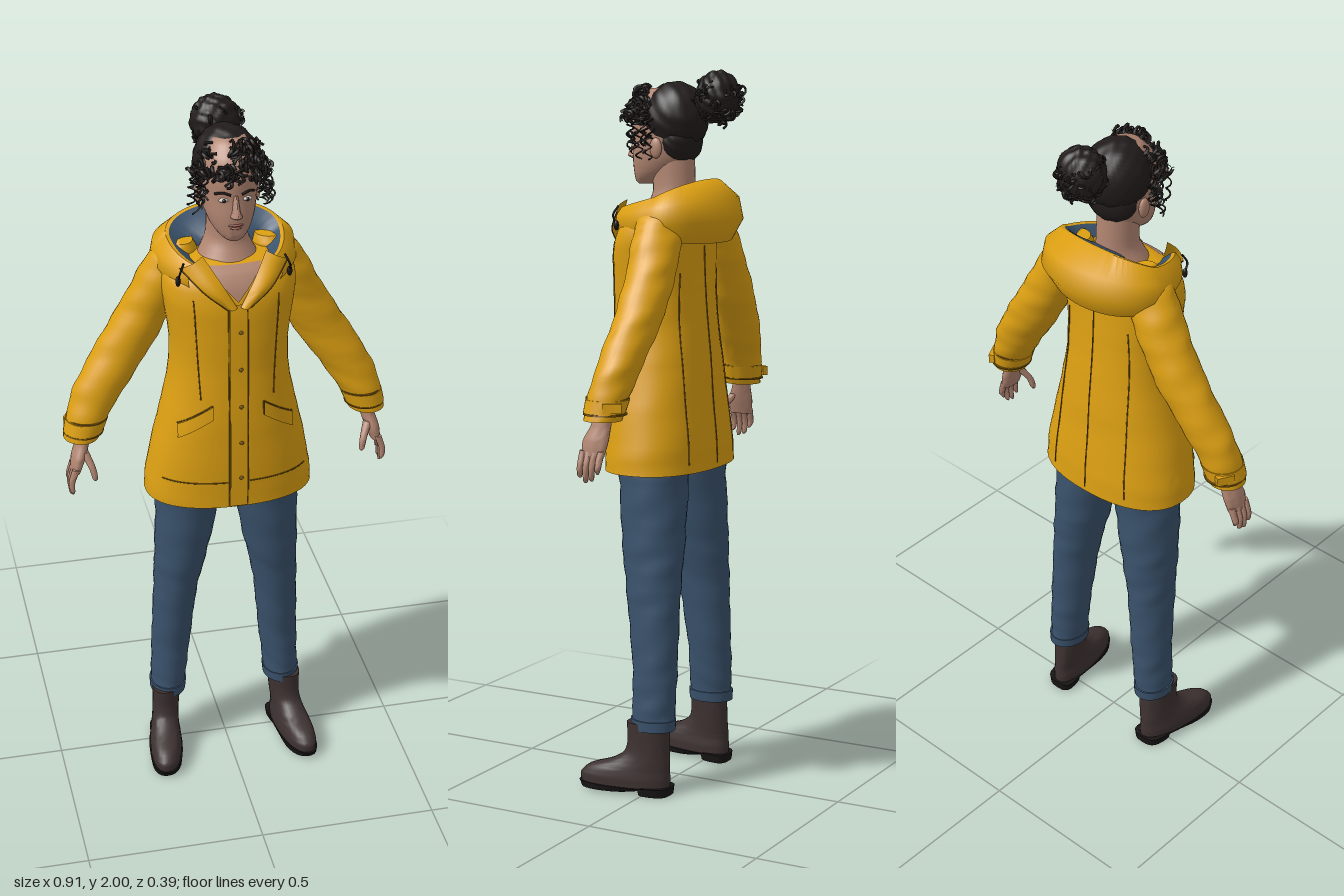
import * as THREE from 'three';
import { toCreasedNormals, mergeGeometries } from 'three/addons/utils/BufferGeometryUtils.js';

const V = (x, y, z) => new THREE.Vector3(x, y, z);
const paint = (name, color, side = THREE.FrontSide) => {
  const m = new THREE.MeshStandardMaterial({ color, side });
  m.name = name;
  return m;
};

// Surface through a grid of points; normals face du x dv. Closed grids wrap in u and get end caps.
function grid(fn, nu, nv, closed = false) {
  const pos = [], idx = [], cols = closed ? nu : nu + 1;
  for (let j = 0; j <= nv; j++)
    for (let i = 0; i < cols; i++) pos.push(...fn(i / nu, j / nv).toArray());
  for (let j = 0; j < nv; j++)
    for (let i = 0; i < nu; i++) {
      const k = (i + 1) % cols, a = j * cols + i, b = j * cols + k;
      idx.push(a, b, b + cols, a, b + cols, a + cols);
    }
  if (closed)
    for (const [j, flip] of [[0, true], [nv, false]]) {
      const c = V(0, 0, 0), n = pos.length / 3;
      for (let i = 0; i < nu; i++) c.add(fn(i / nu, j / nv));
      pos.push(...c.divideScalar(nu).toArray());
      for (let i = 0; i < nu; i++) {
        const a = j * cols + i, b = j * cols + (i + 1) % cols;
        idx.push(...(flip ? [n, b, a] : [n, a, b]));
      }
    }
  const g = new THREE.BufferGeometry();
  g.setAttribute('position', new THREE.Float32BufferAttribute(pos, 3));
  g.setIndex(idx);
  return toCreasedNormals(g, 0.95);
}

// Smooth stack of horizontal oval rings, listed bottom to top as [y, centreX, centreZ, radiusX, radiusZ].
function profile(rows) {
  const centre = new THREE.CatmullRomCurve3(rows.map(r => V(r[1], r[0], r[2])), false, 'catmullrom', 0.4);
  const radius = new THREE.CatmullRomCurve3(rows.map(r => V(r[3], r[4], 0)), false, 'catmullrom', 0.4);
  return t => ({ c: centre.getPoint(t), r: radius.getPoint(t) });
}
function loft(rows, { s = 1, n = 24, e = 2, steps = 4, fold = 0, warp = p => p } = {}) {
  const at = profile(rows), pow = v => Math.sign(v) * Math.abs(v) ** (2 / e);
  return grid((u, v) => {
    const { c, r } = at(v), a = u * Math.PI * 2;
    const k = 1 + fold * Math.sin(c.y * 75 + 2.5 * Math.sin(a + s) + s) * Math.sin(c.y * 23 + a);
    return warp(V(s * c.x + r.x * k * pow(Math.sin(a)), c.y, c.z + r.y * k * pow(Math.cos(a))));
  }, n, (rows.length - 1) * steps, true);
}

const COAT = [
  [0.905, 0, 0.028, 0.235, 0.148], [0.98, 0, 0.03, 0.227, 0.148], [1.1, 0, 0.036, 0.203, 0.142],
  [1.2, 0, 0.038, 0.179, 0.138], [1.3, 0, 0.04, 0.162, 0.13], [1.4, 0, 0.043, 0.163, 0.125],
  [1.5, 0, 0.043, 0.178, 0.121], [1.56, 0, 0.035, 0.18, 0.114], [1.6, 0, 0.018, 0.165, 0.104],
  [1.615, 0, 0.01, 0.12, 0.08],
];
const coatAt = profile(COAT);
// Point on the coat at (x, y), on its front (dir 1) or back (dir -1), lifted by off
function onCoat(x, y, off = 0.004, dir = 1) {
  let lo = 0, hi = 1;
  for (let i = 0; i < 24; i++) {
    const m = (lo + hi) / 2;
    if (coatAt(m).c.y < y) lo = m; else hi = m;
  }
  const { c, r } = coatAt(lo), q = Math.min(1, Math.abs(x) / r.x);
  return V(x, y, c.z + dir * (r.y * (1 - q ** 2.3) ** (1 / 2.3) + off));
}

export function createModel() {
  const root = new THREE.Group();
  root.name = 'womanInRaincoat';
  const two = THREE.DoubleSide;
  const yellow = paint('raincoatYellow', 0xdda012, two), gold = paint('seamGold', 0x7a560c);
  const blue = paint('denimBlue', 0x3a526c, two), skin = paint('skin', 0xb28672, two);
  const hair = paint('hairBlack', 0x211c1b), boot = paint('bootBrown', 0x3d3231);
  const sole = paint('soleBlack', 0x171414), lip = paint('lips', 0x96594f), white = paint('eyeWhite', 0xcfc4bc);
  const add = (name, geo, mat) => {
    const m = new THREE.Mesh(geo, mat);
    m.name = name;
    root.add(m);
    return m;
  };
  const tube = (pts, r, n = 16, sides = 5) => new THREE.TubeGeometry(new THREE.CatmullRomCurve3(pts), n, r, sides);
  const ball = (name, mat, p, sx, sy, sz) => {
    const m = add(name, new THREE.SphereGeometry(1, 20, 14), mat);
    m.position.set(...p);
    m.scale.set(sx, sy, sz);
    return m;
  };
  const seam = (name, x0, y0, x1, y1, dir = 1) => add(name, tube(
    Array.from({ length: 9 }, (_, i) => onCoat(x0 + (x1 - x0) * i / 8, y0 + (y1 - y0) * i / 8, 0.001, dir)), 0.0018), gold);

  // Coat body, open-neck chest, placket and snaps
  add('coatBody', loft(COAT, { n: 56, e: 2.3, fold: 0.006 }), yellow);
  add('chest', grid((u, v) => onCoat((u - 0.5) * 2 * v * 0.075, 1.525 + v * 0.085, 0.006), 10, 8), skin);
  add('placket', grid((u, v) => onCoat(-0.024 + u * 0.048, 0.91 + v * 0.61, 0.006), 4, 24), yellow);
  seam('placketSeam', 0.026, 0.91, 0.026, 1.51);
  seam('placketSeam', -0.026, 0.91, -0.026, 1.51);
  for (let i = 0; i < 5; i++)
    ball('snap', gold, onCoat(0.006, 1.0 + i * 0.11, 0.007).toArray(), 0.006, 0.006, 0.003);
  seam('backSeam', 0, 0.92, 0, 1.52, -1);

  // Hood lying around the neck: yellow roll outside, blue lining inside
  const hoodPoint = (a, out, drop) => {
    const f = -Math.cos(a), k = 0.5 - 0.5 * f;
    const rim = V(0.148 * Math.sin(a), 1.70 - 0.09 * (1 - k), -0.01 + f * (f < 0 ? 0.078 : 0.17));
    const dir = V(Math.sin(a), 0, f);
    return rim.addScaledVector(dir, out(k)).add(V(0, drop(k), 0));
  };
  const rollAt = k => [[-0.02, -0.06 - 0.11 * k], [0.015 + 0.03 * k, -0.05 - 0.12 * k], [0.02 + 0.058 * k, -0.035 - 0.075 * k],
    [0.018 + 0.047 * k, -0.014 - 0.032 * k], [0.01, 0.002], [0, 0]];
  const liningAt = () => [[0, 0], [-0.018, -0.012], [-0.045, -0.03], [-0.085, -0.05]];
  const wrap = (rows, n) => grid((u, v) => {
    const a = (u - 0.5) * 2 * 2.35, i = Math.round(v * n);
    return hoodPoint(-a, k => rows(k)[i][0], k => rows(k)[i][1]);
  }, 48, n);
  add('hood', wrap(rollAt, 5), yellow);
  add('hoodLining', wrap(liningAt, 3), blue);

  for (const s of [1, -1]) {
    // Collar flaps and drawstrings
    const inner = new THREE.CatmullRomCurve3([V(s * 0.004, 1.515, 0.173), V(s * 0.04, 1.575, 0.158), V(s * 0.085, 1.645, 0.115)]);
    const outer = new THREE.CatmullRomCurve3([V(s * 0.03, 1.51, 0.172), V(s * 0.09, 1.56, 0.162), V(s * 0.145, 1.615, 0.112)]);
    add('collarFlap', grid((u, v) => inner.getPoint(v).lerp(outer.getPoint(v), u).add(V(0, 0, 0.012 * Math.sin(u * Math.PI))), 6, 10), yellow);
    add('collarSeam', tube([0, 0.25, 0.5, 0.75, 1].map(t => outer.getPoint(t)), 0.002), gold);
    add('drawstring', tube([V(s * 0.135, 1.63, 0.115), V(s * 0.147, 1.605, 0.125), V(s * 0.15, 1.585, 0.115)], 0.003), sole);
    ball('toggle', sole, [s * 0.15, 1.578, 0.113], 0.007, 0.014, 0.007);

    // Pocket flaps and body seams
    add('pocketFlap', grid((u, v) => onCoat(s * (0.07 + u * 0.09), 1.225 - u * 0.065 - v * 0.04, 0.007), 8, 3), yellow);
    seam('pocketSeam', s * 0.07, 1.185, s * 0.16, 1.12);
    seam('pocketSeam', s * 0.07, 1.225, s * 0.16, 1.16);
    seam('pocketSeam', s * 0.07, 1.225, s * 0.07, 1.185);
    seam('hemSeam', s * 0.03, 0.985, s * 0.2, 0.985);
    seam('chestSeam', s * 0.1, 1.24, s * 0.115, 1.53);
    seam('backPanelSeam', s * 0.13, 0.93, s * 0.105, 1.45, -1);

    // Sleeve, cuff and wrist strap
    add('sleeve', loft([
      [1.085, 0.404, 0.008, 0.049, 0.052], [1.15, 0.383, 0, 0.059, 0.055], [1.23, 0.343, -0.012, 0.072, 0.059],
      [1.35, 0.267, -0.026, 0.078, 0.063], [1.46, 0.205, -0.027, 0.073, 0.066], [1.55, 0.158, -0.02, 0.074, 0.066],
      [1.605, 0.135, -0.015, 0.062, 0.058], [1.64, 0.12, -0.015, 0.035, 0.04],
    ], { s, n: 28, steps: 6, fold: 0.035 }), yellow);
    add('cuffBand', loft([[1.105, 0.398, 0.006, 0.055, 0.057], [1.14, 0.387, 0.002, 0.059, 0.059]], { s, n: 28 }), yellow);
    for (const y of [1.102, 1.143])
      add('cuffSeam', loft([[y - 0.002, 0.397 - (y - 1.105) * 0.31, 0.004, 0.056, 0.059], [y + 0.002, 0.396 - (y - 1.105) * 0.31, 0.004, 0.056, 0.059]], { s, n: 28, steps: 1 }), gold);
    const strap = add('wristStrap', new THREE.BoxGeometry(0.016, 0.026, 0.05), yellow);
    strap.position.set(s * 0.43, 1.122, -0.036);
    strap.rotation.y = s * 0.5;

    // Hand
    add('palm', loft([[0.99, 0.427, 0.025, 0.014, 0.034], [1.03, 0.417, 0.022, 0.02, 0.038], [1.07, 0.404, 0.013, 0.02, 0.029],
      [1.11, 0.395, 0.008, 0.022, 0.026]], { s, n: 16 }), skin);
    for (let i = 0; i < 4; i++) {
      const z = -0.001 + i * 0.018, tip = [0.945, 0.925, 0.92, 0.933][i];
      add('finger', loft([[tip, 0.438, z + 0.005, 0.003, 0.003], [tip + 0.008, 0.441, z + 0.004, 0.007, 0.007],
        [0.965, 0.442, z + 0.002, 0.009, 0.009], [1.005, 0.428, z, 0.011, 0.01]], { s, n: 10, steps: 3 }), skin);
    }
    add('thumb', loft([[0.972, 0.378, 0.068, 0.003, 0.003], [0.98, 0.379, 0.067, 0.008, 0.008], [1.01, 0.385, 0.06, 0.01, 0.01],
      [1.05, 0.403, 0.035, 0.013, 0.014]], { s, n: 10, steps: 3 }), skin);

    // Trouser leg with turned hem
    add('trouserLeg', loft([
      [0.19, 0.172, -0.012, 0.05, 0.062], [0.24, 0.169, -0.012, 0.051, 0.063], [0.35, 0.161, -0.012, 0.056, 0.064],
      [0.55, 0.147, 0, 0.063, 0.077], [0.7, 0.129, 0.01, 0.077, 0.09], [0.9, 0.107, 0.02, 0.094, 0.099],
      [0.98, 0.1, 0.02, 0.098, 0.1],
    ], { s, n: 28, steps: 8, fold: 0.03 }), blue);
    add('trouserHem', loft([[0.186, 0.172, -0.012, 0.052, 0.065], [0.215, 0.171, -0.012, 0.054, 0.066]], { s, n: 28 }), blue);

    // Ankle boot, toe turned slightly out
    const turn = p => { p.x += s * p.z * 0.14; return p; };
    add('boot', loft([
      [0.016, 0.185, 0.065, 0.046, 0.128], [0.045, 0.185, 0.065, 0.047, 0.13], [0.07, 0.185, 0.052, 0.043, 0.115],
      [0.09, 0.184, 0.022, 0.04, 0.085], [0.115, 0.182, 0.003, 0.039, 0.064], [0.15, 0.18, -0.002, 0.04, 0.058],
      [0.205, 0.178, 0, 0.043, 0.058],
    ], { s, n: 28, e: 2.3, warp: turn }), boot);
    add('sole', loft([[0.006, 0.185, 0.11, 0.045, 0.082], [0.022, 0.185, 0.066, 0.05, 0.134]], { s, n: 28, e: 2.3, warp: turn }), sole);
    add('heel', loft([[0, 0.185, -0.025, 0.041, 0.043], [0.024, 0.185, -0.024, 0.045, 0.046]], { s, n: 24, e: 3, warp: turn }), sole);

    // Eyes, brows and ears
    ball('eye', white, [s * 0.031, 1.803, 0.126], 0.013, 0.006, 0.008);
    ball('iris', hair, [s * 0.031, 1.803, 0.131], 0.005, 0.0055, 0.005);
    add('brow', tube([V(s * 0.014, 1.82, 0.138), V(s * 0.034, 1.826, 0.132), V(s * 0.052, 1.819, 0.116)], 0.0035), hair);
    ball('ear', skin, [s * 0.078, 1.785, 0.03], 0.01, 0.028, 0.018);
  }

  // Neck, head, nose and mouth
  add('neck', loft([[1.585, 0, 0.03, 0.095, 0.085], [1.63, 0, 0.022, 0.07, 0.068], [1.67, 0, 0.015, 0.055, 0.06],
    [1.76, 0, 0.02, 0.055, 0.062]], { n: 28 }), skin);
  add('head', loft([
    [1.685, 0, 0.098, 0.022, 0.028], [1.695, 0, 0.088, 0.036, 0.045], [1.72, 0, 0.066, 0.055, 0.07], [1.755, 0, 0.048, 0.068, 0.09],
    [1.8, 0, 0.038, 0.075, 0.096], [1.85, 0, 0.035, 0.079, 0.1], [1.9, 0, 0.03, 0.073, 0.095], [1.945, 0, 0.025, 0.045, 0.06],
  ], { n: 32 }), skin);
  add('nose', loft([[1.753, 0, 0.134, 0.008, 0.012], [1.76, 0, 0.138, 0.016, 0.022], [1.772, 0, 0.134, 0.011, 0.024],
    [1.815, 0, 0.128, 0.006, 0.01]], { n: 14 }), skin);
  ball('upperLip', lip, [0, 1.733, 0.132], 0.02, 0.0045, 0.009);
  ball('lowerLip', lip, [0, 1.725, 0.131], 0.016, 0.005, 0.009);

  // Hair: swept-back cap, nape and bun with a bumpy surface
  const lumpy = (name, p, sx, sy, sz, amp) => {
    const g = new THREE.SphereGeometry(1, 48, 32), q = g.attributes.position;
    for (let i = 0; i < q.count; i++) {
      const v = V().fromBufferAttribute(q, i);
      const k = 1 + amp * Math.sin(v.x * 11 + v.y * 5) * Math.cos(v.z * 10 - v.y * 8);
      q.setXYZ(i, v.x * k, v.y * k, v.z * k);
    }
    g.scale(sx, sy, sz).translate(...p).computeVertexNormals();
    add(name, g, hair);
  };
  lumpy('hairCap', [0, 1.865, 0.012], 0.088, 0.098, 0.092, 0.025);
  lumpy('hairNape', [0, 1.805, -0.005], 0.075, 0.068, 0.056, 0.02);
  lumpy('bun', [0, 1.922, -0.12], 0.067, 0.07, 0.06, 0.06);

  // Curls: short spirals scattered over fringe, bun and temples
  let seed = 7;
  const rnd = (a, b) => {
    seed = (seed * 16807) % 2147483647;
    return a + (b - a) * seed / 2147483647;
  };
  const curl = (p, d, r, turns, thick) => {
    const ph = rnd(0, 6.28), side = V(d.y, -d.x, 0.01).normalize(), up = d.clone().cross(side).normalize();
    const n = Math.ceil(turns * 7);
    return tube(Array.from({ length: n + 1 }, (_, i) => {
      const a = ph + i / n * turns * Math.PI * 2;
      return p.clone().addScaledVector(d, i / n).addScaledVector(side, r * Math.cos(a)).addScaledVector(up, r * Math.sin(a));
    }), thick, n * 2, 4);
  };
  const fringe = [], knot = [], temples = [];
  for (let i = 0; i < 75; i++) {
    const a = rnd(-1.5, 1.5), h = rnd(0, 1);
    const p = V(Math.sin(a) * (0.092 - 0.045 * h), 1.868 + 0.075 * h, 0.05 + Math.cos(a) * (0.1 - 0.04 * h));
    fringe.push(curl(p, V(rnd(-0.03, 0.03), rnd(-0.035, 0.01), rnd(-0.01, 0.015)), rnd(0.007, 0.014), rnd(1, 2), 0.0045));
  }
  for (let i = 0; i < 60; i++) {
    const d = V(rnd(-1, 1), rnd(-1, 1), rnd(-1, 0.7)).normalize();
    const p = V(0, 1.918, -0.12).addScaledVector(d, 0.06);
    knot.push(curl(p, V(rnd(-0.02, 0.02), rnd(-0.02, 0.004), rnd(-0.01, 0.01)), rnd(0.007, 0.013), rnd(1, 2), 0.0035));
  }
  for (let i = 0; i < 22; i++) {
    const s = i % 2 ? 1 : -1;
    temples.push(curl(V(s * rnd(0.072, 0.1), rnd(1.82, 1.88), rnd(0.04, 0.115)), V(s * rnd(-0.012, 0.008), rnd(-0.1, -0.04), rnd(-0.01, 0.01)),
      rnd(0.006, 0.011), rnd(1.5, 3), 0.0025));
  }
  add('fringeCurls', mergeGeometries(fringe), hair);
  add('bunCurls', mergeGeometries(knot), hair);
  add('templeCurls', mergeGeometries(temples), hair);
  return root;
}
